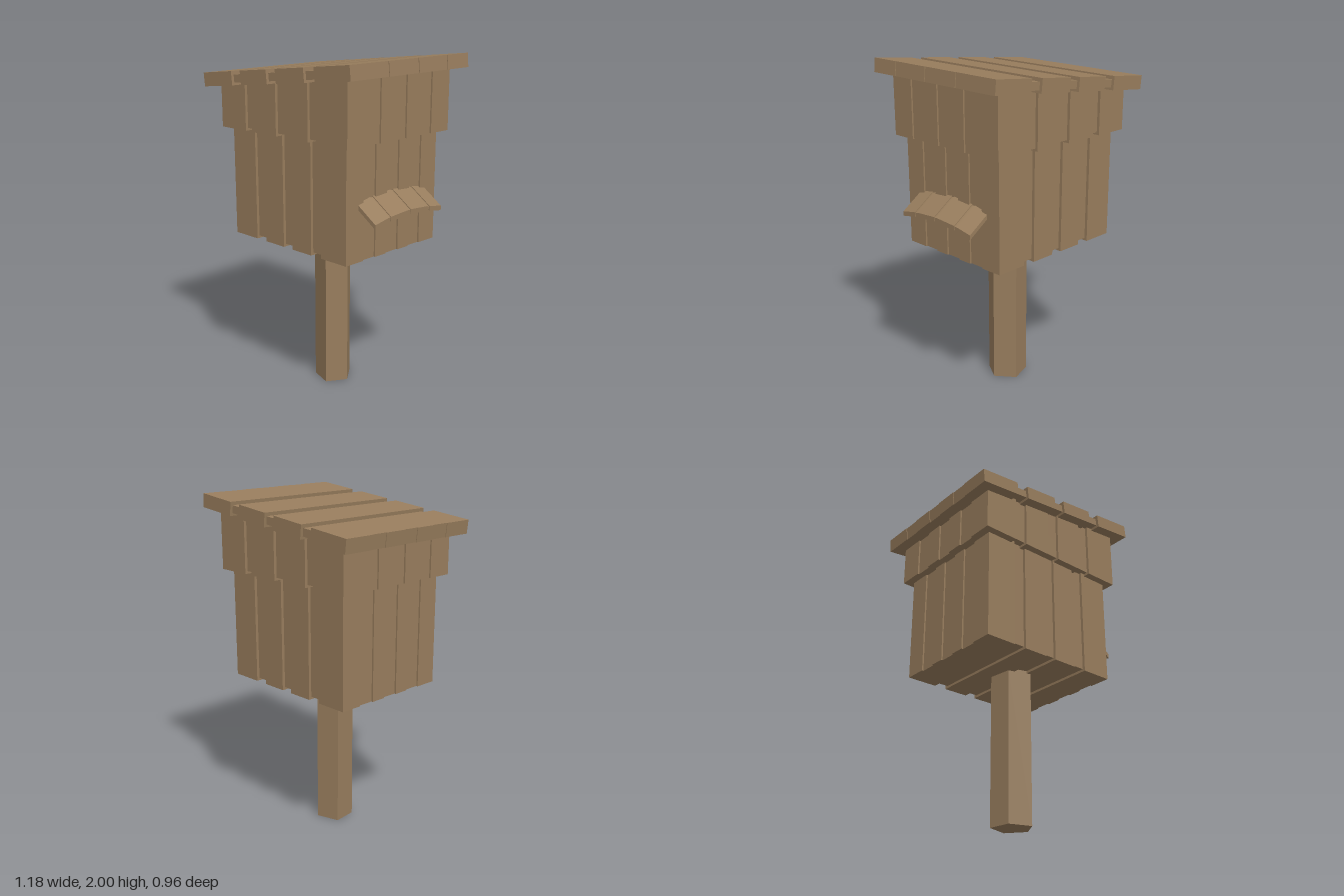
import * as THREE from 'three';

const wood = new THREE.MeshStandardMaterial({ color: 0x987d5d });
wood.name = 'weathered wood';

function add(parent, name, geometry) {
  const mesh = new THREE.Mesh(geometry, wood);
  mesh.name = name;
  parent.add(mesh);
  return mesh;
}

// Extrudes a plan outline (x, z) upward from y0 to y1
function prism(points, y0, y1) {
  const shape = new THREE.Shape(points.map(([x, z]) => new THREE.Vector2(x, -z)));
  return new THREE.ExtrudeGeometry(shape, { depth: y1 - y0, bevelEnabled: false })
    .rotateX(-Math.PI / 2).translate(0, y0, 0);
}

// Tilts the top face: every vertex at height y1 rises with x
function slopeTop(geometry, y1, slope) {
  const p = geometry.attributes.position;
  for (let i = 0; i < p.count; i++) {
    if (Math.abs(p.getY(i) - y1) < 1e-4) p.setY(i, y1 + slope * p.getX(i));
  }
  const flat = geometry.index ? geometry.toNonIndexed() : geometry;
  flat.computeVertexNormals();
  return flat;
}

// Four boards side by side along x, with a recessed core showing in the gaps.
// gaps = [half middle gap, outer gap start, outer gap end]; sideGaps likewise along z
function boardBlock(name, o) {
  const group = new THREE.Group();
  group.name = name;
  const { w, d, y0, y1, gaps, sideGaps, sideDepth, inset, topInset = 0, slope = 0 } = o;
  const [m, a, b] = gaps;
  const [sm, sa, sb] = sideGaps;
  const n = w - sideDepth;
  // Outer board, notched three times along its outside face
  const outer = [[b, d], [w, d], [w, sb], [n, sb], [n, sa], [w, sa], [w, sm], [n, sm],
    [n, -sm], [w, -sm], [w, -sa], [n, -sa], [n, -sb], [w, -sb], [w, -d], [b, -d]];
  const inner = [[m, d], [a, d], [a, -d], [m, -d]];
  for (const side of [0, Math.PI]) {
    for (const outline of [outer, inner]) {
      add(group, 'board', slopeTop(prism(outline, y0, y1).rotateY(side), y1, slope));
    }
  }
  const c0 = y0 + 0.015, c1 = y1 - topInset, cd = d - inset, cw = b + 0.02;
  const core = prism([[-cw, cd], [cw, cd], [cw, -cd], [-cw, -cd]], c0, c1);
  add(group, 'core', slopeTop(core, c1, slope));
  return group;
}

// Curved awning strip from z0 to z1, falling away from the wall
function awningStrip(z0, z1, drop, thickness, reach) {
  const g = new THREE.BoxGeometry(1, 1, 1).toNonIndexed();
  const p = g.attributes.position;
  for (let i = 0; i < p.count; i++) {
    const x = p.getX(i) > 0 ? reach : 0.44;
    const z = p.getZ(i) > 0 ? z1 : z0;
    const top = 1.265 - 0.4 * z * z - 0.68 * (x - 0.46) - drop;
    p.setXYZ(i, x, p.getY(i) > 0 ? top : top - thickness, z);
  }
  g.computeVertexNormals();
  return g;
}

export function createModel() {
  const model = new THREE.Group();
  model.name = 'birdhouse on a post';

  // Five-sided post
  add(model, 'post', prism(
    [[0.13, 0.015], [0.06, 0.13], [-0.075, 0.087], [-0.09, -0.052], [0.045, -0.095]], 0, 0.93));

  // House body
  model.add(boardBlock('body', {
    w: 0.46, d: 0.374, y0: 0.91, y1: 1.6, gaps: [0.036, 0.19, 0.27],
    sideGaps: [0.05, 0.14, 0.24], sideDepth: 0.01, inset: 0.017,
  }));

  // Wider upper band, its top following the roof pitch
  model.add(boardBlock('upperBand', {
    w: 0.508, d: 0.418, y0: 1.56, y1: 1.868, gaps: [0.038, 0.216, 0.296],
    sideGaps: [0.05, 0.16, 0.265], sideDepth: 0.01, inset: 0.017, slope: 0.107,
  }));

  // Pitched plank roof
  const roof = boardBlock('roof', {
    w: 0.589, d: 0.481, y0: -0.04, y1: 0.04, gaps: [0.037, 0.257, 0.335],
    sideGaps: [0.05, 0.19, 0.295], sideDepth: 0.004, inset: 0.017, topInset: 0.02,
  });
  roof.rotation.z = 0.107;
  roof.position.y = 1.897;
  model.add(roof);

  // Arched awning on the left wall: four boards over a thin recessed backing
  const awning = new THREE.Group();
  awning.name = 'awning';
  const joints = [-0.28, -0.165, 0, 0.165, 0.28];
  for (let i = 0; i < 4; i++) {
    const z0 = joints[i], z1 = joints[i + 1];
    add(awning, 'awningBoard', awningStrip(
      i > 0 ? z0 + 0.01 : z0, i < 3 ? z1 - 0.01 : z1, 0, 0.027, 0.585));
    add(awning, 'awningBacking', awningStrip(z0 + (i ? 0 : 0.01), z1 - (i < 3 ? 0 : 0.01), 0.005, 0.017, 0.582));
  }
  model.add(awning);

  return model;
}
